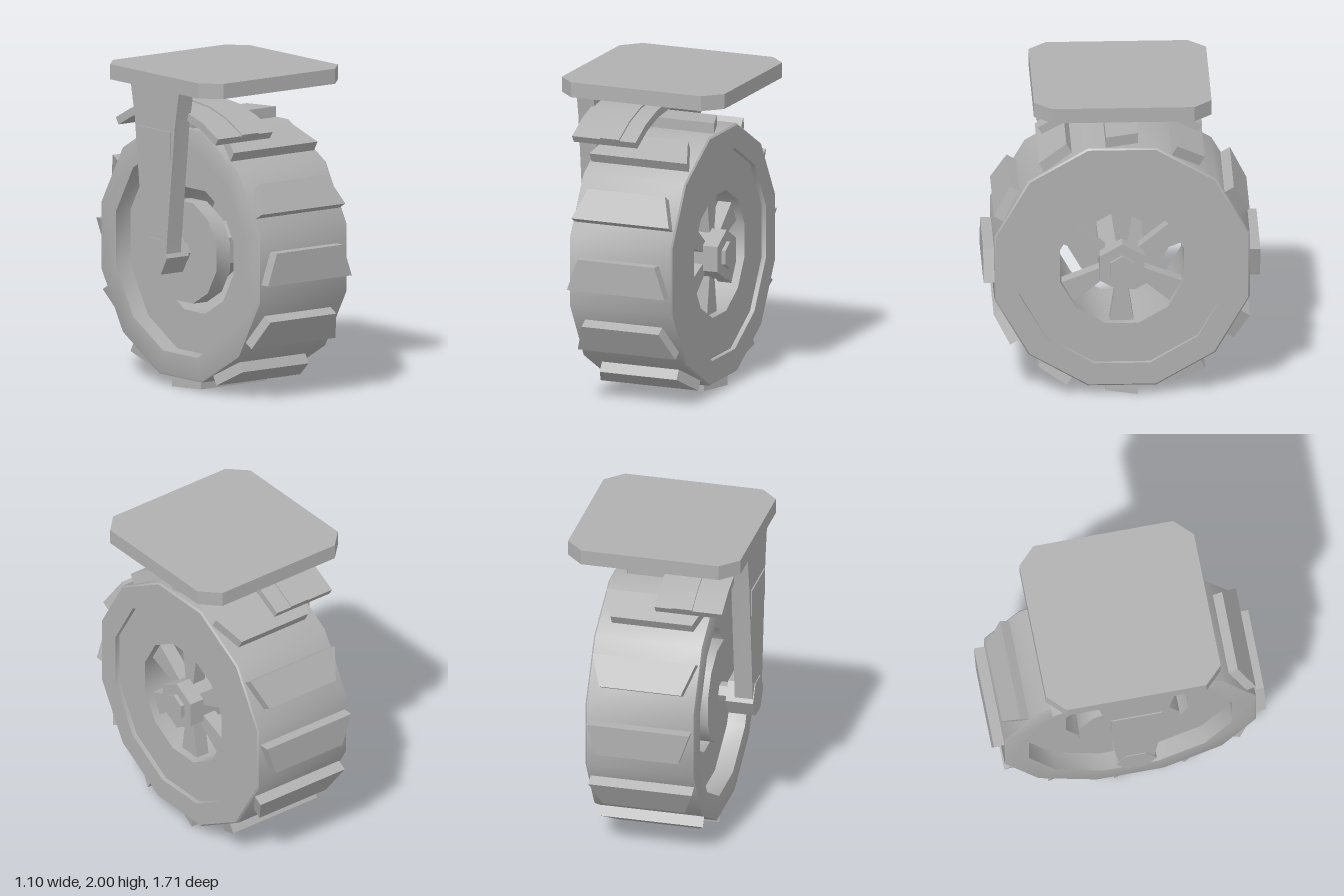
import * as THREE from 'three';
import { toCreasedNormals } from 'three/addons/utils/BufferGeometryUtils.js';

const AXLE_Y = 0.857;
const grey = new THREE.MeshStandardMaterial({ color: 0xb0b0b0 });
grey.name = 'plain grey';

function part(name, geometry, parent) {
  const mesh = new THREE.Mesh(toCreasedNormals(geometry, 0.7), grey);
  mesh.name = name;
  parent.add(mesh);
  return mesh;
}

const shapeOf = (pts) => new THREE.Shape(pts.map(([a, b]) => new THREE.Vector2(a, b)));

// Outline given as [z, y], extruded along x
function sideways(pts, x0, x1) {
  const g = new THREE.ExtrudeGeometry(shapeOf(pts.map(([z, y]) => [-z, y])), { depth: x1 - x0, bevelEnabled: false });
  return g.rotateY(Math.PI / 2).translate(x0, 0, 0);
}

// Outline given as [x, z], extruded along y
function upright(pts, y0, y1) {
  const g = new THREE.ExtrudeGeometry(shapeOf(pts), { depth: y1 - y0, bevelEnabled: false });
  return g.rotateX(Math.PI / 2).translate(0, y1, 0);
}

// Prism lying along x
function rod(radius, sides, x0, x1, turn = 0) {
  const g = new THREE.CylinderGeometry(radius, radius, x1 - x0, sides, 1, false, turn);
  return g.rotateZ(-Math.PI / 2).translate((x0 + x1) / 2, 0, 0);
}

// Twelve-sided ring around x; profile is [distance to flat, x]
function ring(profile) {
  const pts = profile.map(([r, x]) => new THREE.Vector2(r / Math.cos(Math.PI / 12), x));
  return new THREE.LatheGeometry(pts, 12, Math.PI / 12).rotateZ(-Math.PI / 2);
}

// Curved strip concentric with the wheel
function arc(rIn, rOut, half, x0, x1) {
  const pts = [];
  const n = 6;
  for (let i = 0; i <= n; i++) {
    const a = -half + (2 * half * i) / n;
    pts.push([rOut * Math.sin(a), rOut * Math.cos(a)]);
  }
  for (let i = n; i >= 0; i--) {
    const a = -half + (2 * half * i) / n;
    pts.push([rIn * Math.sin(a), rIn * Math.cos(a)]);
  }
  return sideways(pts, x0, x1);
}

export function createModel() {
  const model = new THREE.Group();
  model.name = 'casterWheel';

  // Wheel, built around the axle
  const wheel = new THREE.Group();
  wheel.name = 'wheel';
  wheel.position.y = AXLE_Y;
  model.add(wheel);

  part('tire', ring([
    [0.64, -0.345], [0.78, -0.345], [0.79, -0.34], [0.79, 0.34], [0.78, 0.35], [0.64, 0.35],
    [0.64, 0.32], [0.385, 0.32], [0.385, -0.23], [0.64, -0.23], [0.64, -0.345],
  ]), wheel);

  // Tapered tread lugs, one on each flat
  const lug = upright([[-0.26, -0.1], [0.26, -0.1], [0.33, 0.1], [-0.33, 0.1]], 0.77, 0.857);
  for (let i = 0; i < 12; i++) {
    part('treadLug', lug, wheel).rotation.x = (i * Math.PI) / 6;
  }

  // Spokes, widening towards the rim
  const spoke = sideways([[-0.03, 0.1], [0.03, 0.1], [0.075, 0.39], [-0.075, 0.39]], 0.18, 0.27);
  for (let i = 0; i < 6; i++) {
    part('spoke', spoke, wheel).rotation.x = (i * Math.PI) / 3;
  }

  // Hub, nut, inner disc and axle
  part('hub', rod(0.16, 6, -0.22, 0.37, Math.PI / 6), wheel);
  part('hubNut', rod(0.087, 6, 0.36, 0.395, Math.PI / 6), wheel);
  part('innerDisc', rod(0.326, 12, -0.31, -0.2, Math.PI / 12), wheel);
  part('axle', rod(0.06, 6, -0.4, -0.3), wheel);

  // Bracket on the right side
  const bracket = new THREE.Group();
  bracket.name = 'bracket';
  model.add(bracket);

  part('mountPlate', upright([
    [-0.55, -0.44], [-0.44, -0.55], [0.44, -0.55], [0.55, -0.44],
    [0.55, 0.44], [0.44, 0.55], [-0.44, 0.55], [-0.55, 0.44],
  ], 1.905, 2), bracket);
  part('arm', sideways([
    [-0.11, 0.86], [0.11, 0.86], [0.2, 1.7], [0.24, 1.91], [-0.24, 1.91], [-0.2, 1.7],
  ], -0.545, -0.43), bracket);
  part('armGusset', sideways([[-0.11, 1.77], [0.11, 1.77], [0.11, 1.91], [-0.11, 1.91]], -0.44, -0.385), bracket);
  part('armPanel', sideways([[-0.16, 1.48], [0.16, 1.48], [0.16, 1.655], [-0.16, 1.655]], -0.553, -0.544), bracket);
  part('axleMount', rod(0.127, 6, -0.55, -0.375), bracket).position.y = AXLE_Y;

  // Curved guard over the tread with a raised band
  part('guard', arc(0.89, 0.94, 0.573, -0.45, -0.02), bracket).position.y = AXLE_Y;
  part('guardBand', arc(0.92, 0.95, 0.573, -0.26, -0.13), bracket).position.y = AXLE_Y;

  return model;
}
